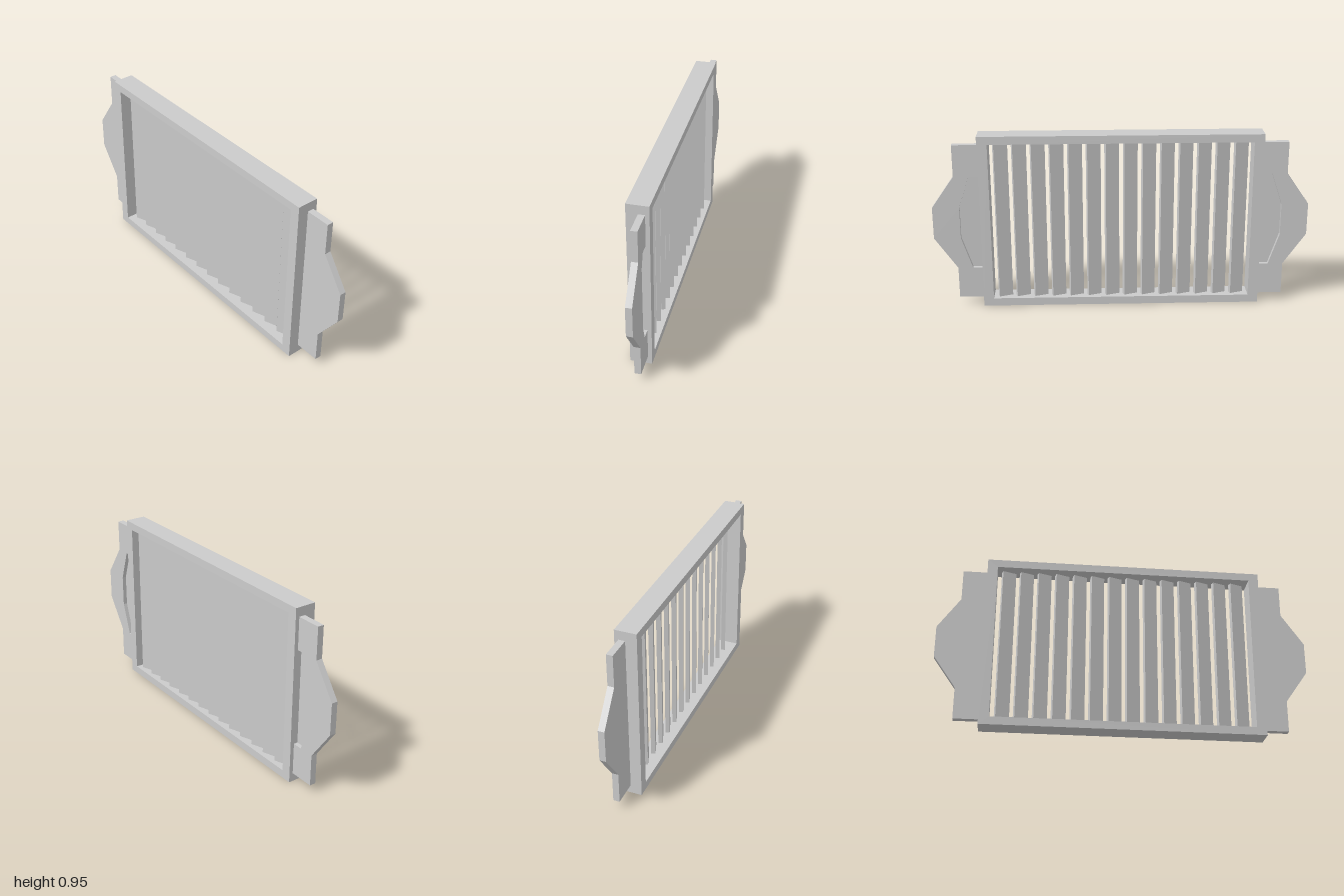
import * as THREE from 'three';

const material = new THREE.MeshStandardMaterial({ color: 0xcccccc, flatShading: true });

// Extrudes a (z, y) outline along +x, starting at x0
function slab(name, outline, holes, x0, depth) {
  const toPoints = (pts) => pts.map(([z, y]) => new THREE.Vector2(-z, y));
  const shape = new THREE.Shape(toPoints(outline));
  for (const hole of holes) shape.holes.push(new THREE.Path(toPoints(hole)));
  const geometry = new THREE.ExtrudeGeometry(shape, { depth, bevelEnabled: false });
  geometry.rotateY(Math.PI / 2);
  geometry.translate(x0, 0, 0);
  const mesh = new THREE.Mesh(geometry, material);
  mesh.name = name;
  return mesh;
}

// Counter-clockwise as seen from +x, so that holes get walls facing inward
const rect = (z, y0, y1) => [[z, y0], [-z, y0], [-z, y1], [z, y1]];

export function createModel() {
  const model = new THREE.Group();
  model.name = 'louvredPanel';

  // Rectangular frame with one large opening
  const bottom = 0.043, top = 0.912;
  model.add(slab('frame', rect(0.748, 0, 0.955), [rect(0.694, bottom, top)], -0.057, 0.114));

  // Upright slats, all turned the same way and set toward +x
  const slats = new THREE.Group();
  slats.name = 'slats';
  const slatGeometry = new THREE.BoxGeometry(0.023, top - bottom, 0.075);
  const count = 14, pitch = 0.0972;
  for (let i = 0; i < count; i++) {
    const slat = new THREE.Mesh(slatGeometry, material);
    slat.name = 'slat';
    slat.position.set(0.01, (top + bottom) / 2, (i - (count - 1) / 2) * pitch);
    slat.rotation.y = THREE.MathUtils.degToRad(20);
    slats.add(slat);
  }
  model.add(slats);

  // A handle on each end: thin back plate plus a raised rim around the finger recess
  const outer = [[0.748, 0.046], [0.88, 0.046], [0.88, 0.218], [1, 0.39], [1, 0.562], [0.88, 0.734], [0.88, 0.906], [0.748, 0.906]];
  const recess = [[0.748, 0.734], [0.8, 0.734], [0.857, 0.562], [0.857, 0.39], [0.8, 0.218], [0.748, 0.218]];
  for (const side of [1, -1]) {
    const place = (pts) => pts.map(([z, y]) => [z * side, y]);
    const handle = new THREE.Group();
    handle.name = side > 0 ? 'frontHandle' : 'backHandle';
    handle.add(slab('handlePlate', place(outer), [], 0.002, 0.012));
    handle.add(slab('handleRim', place([...outer, ...recess]), [], 0.014, 0.022));
    model.add(handle);
  }
  return model;
}
